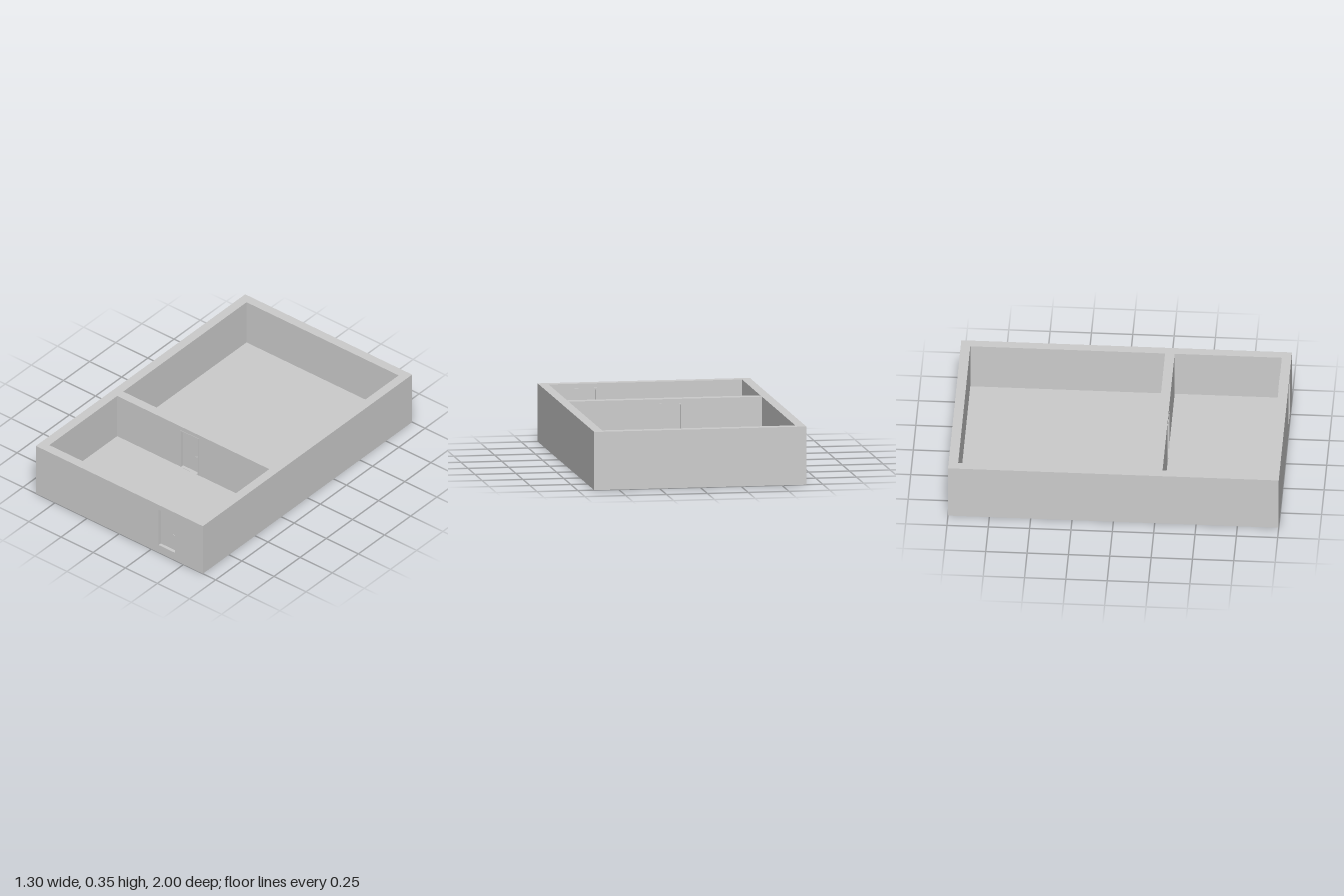
import * as THREE from 'three';

const W = 1.3, H = 0.355, T = 0.058, FLOOR = 0.055;
const DOOR_W = 0.146, DOOR_BASE = 0.05, DOOR_TOP = 0.328;
const PARTITION_Z = 0.265, FRONT_Z = 1 - T / 2;

export function createModel() {
  const model = new THREE.Group();
  const material = new THREE.MeshStandardMaterial({ color: 0xcccccc });

  function add(name, geometry, parent = model) {
    const mesh = new THREE.Mesh(geometry, material);
    mesh.name = name;
    parent.add(mesh);
    return mesh;
  }
  function box(name, w, h, d, x, y, z, parent) {
    add(name, new THREE.BoxGeometry(w, h, d), parent).position.set(x, y, z);
  }

  // Wall with a door opening; the opening runs down to the given base height
  function doorWall(name, width, z, doorX, base) {
    const a = width / 2, l = doorX - DOOR_W / 2, r = doorX + DOOR_W / 2;
    const points = (list) => list.map(([x, y]) => new THREE.Vector2(x, y));
    let shape;
    if (base === 0) {
      shape = new THREE.Shape(points([[-a, 0], [l, 0], [l, DOOR_TOP], [r, DOOR_TOP],
        [r, 0], [a, 0], [a, H], [-a, H]]));
    } else {
      shape = new THREE.Shape(points([[-a, 0], [a, 0], [a, H], [-a, H]]));
      shape.holes.push(new THREE.Path(points([[l, base], [l, DOOR_TOP], [r, DOOR_TOP], [r, base]])));
    }
    const geometry = new THREE.ExtrudeGeometry(shape, { depth: T, bevelEnabled: false });
    add(name, geometry).position.z = z - T / 2;
  }

  // Door set: frame, recessed leaf and a lever handle on each face
  function door(name, x, z) {
    const set = new THREE.Group();
    set.name = name;
    set.position.set(x, 0, z);
    model.add(set);
    const f = 0.009, depth = T + 0.004, h = DOOR_TOP - DOOR_BASE;
    const midY = (DOOR_TOP + DOOR_BASE) / 2;
    for (const s of [-1, 1]) {
      box('doorJamb', f, h, depth, s * (DOOR_W - f) / 2, midY, 0, set);
      box('doorHandleStem', 0.004, 0.004, 0.012, 0.052, 0.174, s * 0.014, set);
      box('doorHandleLever', 0.014, 0.004, 0.004, 0.048, 0.174, s * 0.02, set);
    }
    box('doorHead', DOOR_W - 2 * f, f, depth, 0, DOOR_TOP - f / 2, 0, set);
    box('doorSill', DOOR_W - 2 * f, 0.006, depth, 0, DOOR_BASE + 0.003, 0, set);
    box('doorLeaf', DOOR_W - 2 * f, h - f, 0.02, 0, midY - f / 2, 0, set);
  }

  // Outer walls
  const inner = W - 2 * T;
  for (const s of [-1, 1]) {
    box('sideWall', T, H, 2 - 2 * T, s * (W - T) / 2, H / 2, 0);
  }
  box('backWall', W, H, T, 0, H / 2, -1 + T / 2);
  doorWall('frontWall', W, FRONT_Z, 0.37, DOOR_BASE);

  // Partition, open at the underside below its door
  doorWall('partitionWall', inner, PARTITION_Z, -0.03, 0);

  // Floors of the two rooms
  const rooms = [
    ['backRoomFloor', -1 + T, PARTITION_Z - T / 2],
    ['frontRoomFloor', PARTITION_Z + T / 2, 1 - T],
  ];
  for (const [name, z0, z1] of rooms) {
    box(name, inner, FLOOR, z1 - z0, 0, FLOOR / 2, (z0 + z1) / 2);
  }

  door('frontDoor', 0.37, FRONT_Z - 0.002);
  door('partitionDoor', -0.03, PARTITION_Z);
  return model;
}
